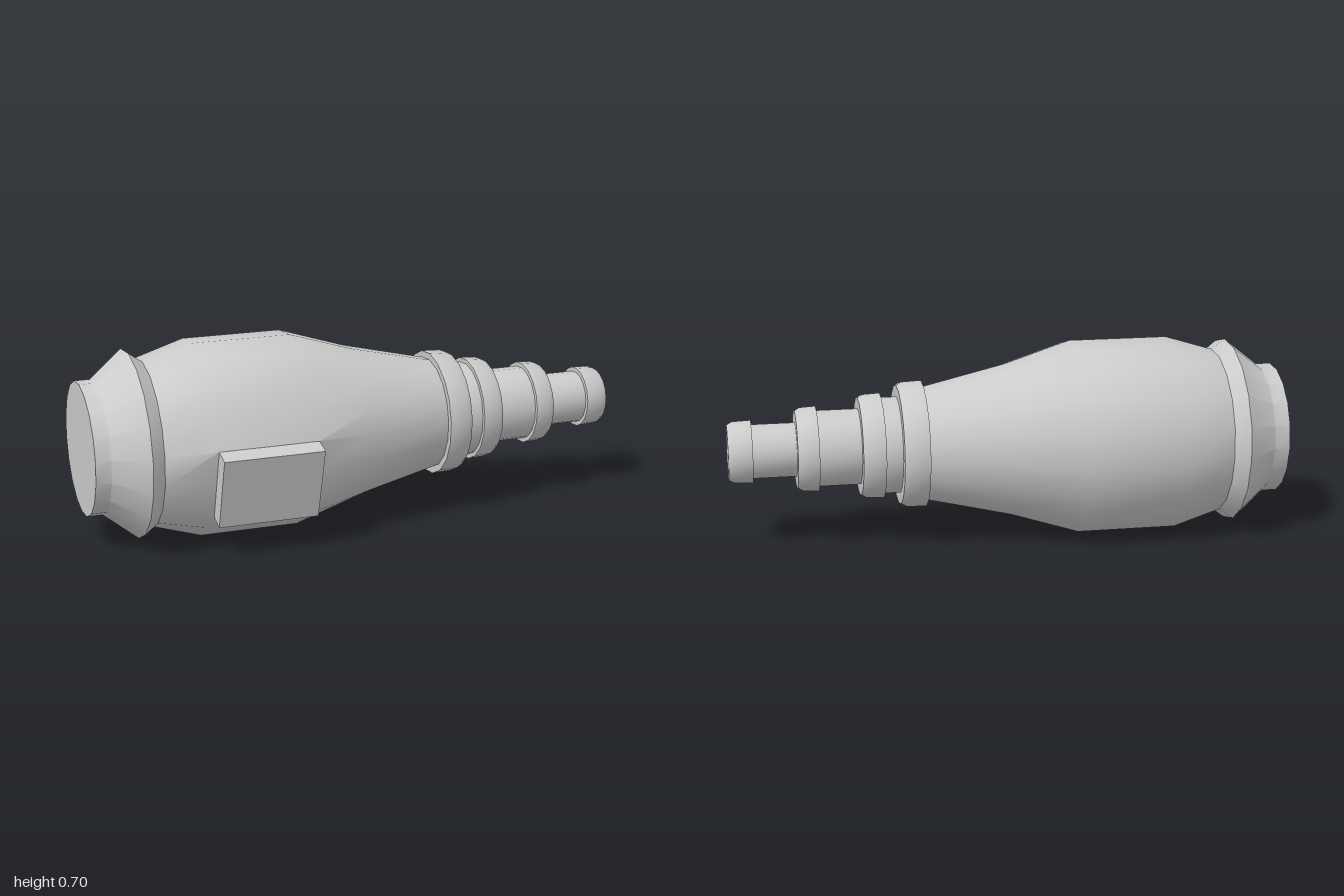
import * as THREE from 'three';
import { toCreasedNormals } from 'three/addons/utils/BufferGeometryUtils.js';

const SIDES = 18;
const AXIS = { y: 0.352, z: -0.03 };
const START = THREE.MathUtils.degToRad(-85);

export function createModel() {
  const group = new THREE.Group();
  const material = new THREE.MeshStandardMaterial({ color: 0xcccccc });

  const add = (name, geometry) => {
    const mesh = new THREE.Mesh(geometry, material);
    mesh.name = name;
    group.add(mesh);
  };

  // Surface turned about the long x axis from [x, radius] pairs
  const turn = (profile) => new THREE.LatheGeometry(
    profile.map(([x, r]) => new THREE.Vector2(r, x)), SIDES, START)
    .rotateZ(-Math.PI / 2)
    .translate(0, AXIS.y, AXIS.z);
  const addTurned = (name, profile) => add(name, toCreasedNormals(turn(profile), 0.7));

  // Closed rear end with its flared collar
  addTurned('rearCollar', [
    [-1, 0], [-1, 0.238], [-0.945, 0.238], [-0.825, 0.335], [-0.775, 0.299],
  ]);

  // Bulging body, flattened on the front side where the block sits
  const profile = [[-0.775, 0.299], [-0.6, 0.352], [-0.24, 0.352], [0, 0.276], [0.305, 0.205]];
  const body = turn(profile);
  const flat = { 3: [0.275, 0.495], 4: [0.32, 0.4], 5: [0.28, 0.27], 6: [0.24, 0.14], 7: [0.163, 0.075] };
  const pos = body.attributes.position;
  for (const [side, [z, y]] of Object.entries(flat)) {
    for (const ring of [1, 2]) {
      pos.setXYZ(side * profile.length + ring, profile[ring][0], y, z);
    }
  }
  add('body', toCreasedNormals(body, 0.7));

  // Tilted block on the front side
  const block = new THREE.BoxGeometry(0.36, 0.272, 0.063);
  block.rotateX(Math.atan2(0.08, 0.26)).translate(-0.42, 0.26, 0.31);
  add('sideBlock', block);

  // Stepped nozzle: plain necks alternating with chamfered rings
  const ring = (x0, x1, r, inner0, inner1) => [
    [x0, inner0], [x0, r], [x1 - 0.018, r - 0.003], [x1, r - 0.014], [x1, inner1],
  ];
  addTurned('baseRing', ring(0.305, 0.395, 0.229, 0.2, 0.17));
  addTurned('baseNeck', [[0.395, 0.174], [0.455, 0.174]]);
  addTurned('secondRing', ring(0.455, 0.535, 0.19, 0.17, 0.13));
  addTurned('middleNeck', [[0.535, 0.137], [0.685, 0.137]]);
  addTurned('thirdRing', ring(0.685, 0.76, 0.153, 0.13, 0.09));
  addTurned('tipNeck', [[0.76, 0.097], [0.915, 0.097]]);

  // Tip ring with the open bore
  addTurned('tipRing', [...ring(0.915, 1, 0.113, 0.09, 0.075), [0.8, 0.075], [0.8, 0]]);

  return group;
}
